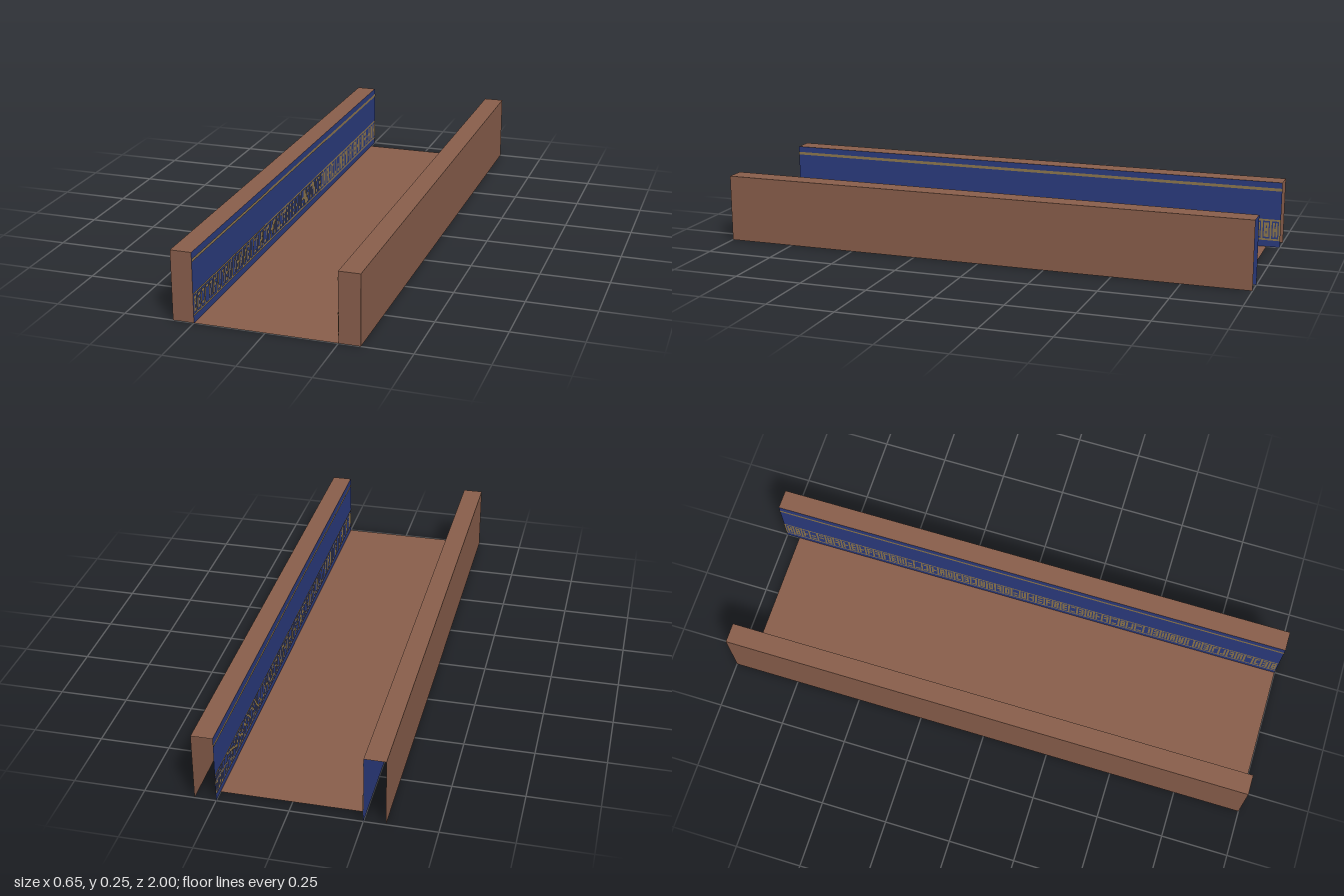
import * as THREE from 'three';
import { mergeGeometries } from 'three/addons/utils/BufferGeometryUtils.js';

const INNER = 0.25, OUTER = 0.325, HEIGHT = 0.25;

function flatMaterial(name, color) {
  const m = new THREE.MeshStandardMaterial({ color, side: THREE.DoubleSide });
  m.name = name;
  return m;
}

// small seeded generator for the irregular frieze
function seeded(seed) {
  let s = seed;
  return () => (s = (s * 16807) % 2147483647) / 2147483647;
}

export function createModel() {
  const brown = flatMaterial('brown', 0x8a5f4c);
  const blue = flatMaterial('deepBlue', 0x2c3c80);
  const gold = flatMaterial('dullGold', 0x8f7850);
  const model = new THREE.Group();
  model.name = 'walledWalkway';

  function sheet(parent, name, w, h, material, position, rotation = [0, 0, 0]) {
    const mesh = new THREE.Mesh(new THREE.PlaneGeometry(w, h), material);
    mesh.name = name;
    mesh.position.set(...position);
    mesh.rotation.set(...rotation);
    parent.add(mesh);
  }

  // floor stops a little short of the back end
  sheet(model, 'floor', INNER * 2, 1.95, brown, [0, 0, 0.025], [-Math.PI / 2, 0, 0]);

  for (const side of [-1, 1]) {
    const wall = new THREE.Group();
    wall.name = side > 0 ? 'leftWall' : 'rightWall';
    model.add(wall);
    const turn = side * Math.PI / 2, mid = side * (INNER + OUTER) / 2, thick = OUTER - INNER;

    // hollow wall, open underneath and at the back
    sheet(wall, 'outerPanel', 2, HEIGHT, brown, [side * OUTER, HEIGHT / 2, 0], [0, turn, 0]);
    sheet(wall, 'topCap', thick, 2, brown, [mid, HEIGHT, 0], [-Math.PI / 2, 0, 0]);
    sheet(wall, 'frontCap', thick, HEIGHT, brown, [mid, HEIGHT / 2, 1]);
    sheet(wall, 'innerPanel', 2, HEIGHT, blue, [side * INNER, HEIGHT / 2, 0], [0, -turn, 0]);

    // gold inlay: upper line, frieze borders and irregular glyph strokes
    const strokes = [];
    const stroke = (y0, y1, z0, z1) => {
      const g = new THREE.PlaneGeometry(z1 - z0, y1 - y0);
      g.rotateY(-turn);
      g.translate(side * (INNER - 0.002), (y0 + y1) / 2, (z0 + z1) / 2);
      strokes.push(g);
    };
    stroke(0.217, 0.228, -1, 1);
    stroke(0.1, 0.107, -1, 1);
    stroke(0.025, 0.032, -1, 1);
    const random = seeded(71);
    const cells = 60, step = 2 / cells;
    for (let i = 0; i < cells; i++) {
      const z = -1 + i * step;
      stroke(0.032, 0.1, z, z + 0.007);
      if (random() < 0.6) stroke(0.038, 0.094, z + 0.011, z + 0.018);
      if (random() < 0.6) stroke(0.038, 0.094, z + 0.022, z + 0.029);
      for (const y of [0.038, 0.06, 0.082]) {
        if (random() < 0.6) stroke(y, y + 0.012, z + 0.011, z + 0.029);
      }
    }
    const inlay = new THREE.Mesh(mergeGeometries(strokes), gold);
    inlay.name = 'goldFrieze';
    wall.add(inlay);
  }
  return model;
}
